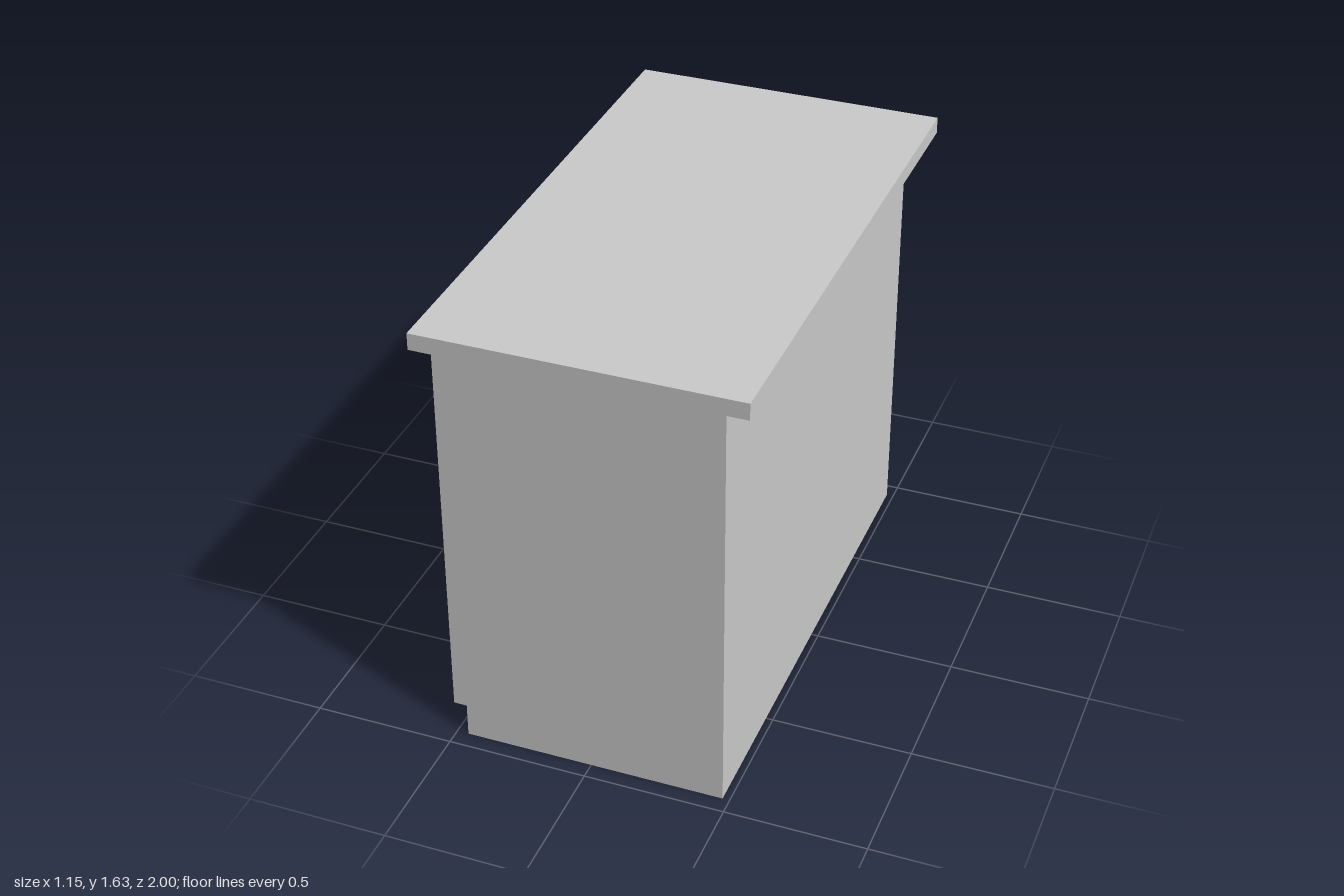
import * as THREE from 'three';

const grey = new THREE.MeshStandardMaterial({ color: 0xcccccc });

// Box given by its minimum and maximum corners
function addBox(parent, name, [x0, y0, z0], [x1, y1, z1]) {
  const mesh = new THREE.Mesh(new THREE.BoxGeometry(x1 - x0, y1 - y0, z1 - z0), grey);
  mesh.position.set((x0 + x1) / 2, (y0 + y1) / 2, (z0 + z1) / 2);
  mesh.name = name;
  parent.add(mesh);
}

// Bent bar handle: two short legs joined to an upright grip by rounded corners
function handleGeometry(xDoor, xGrip, yLow, yHigh, bend, radius) {
  const v = (x, y) => new THREE.Vector3(x, y, 0);
  const path = new THREE.CurvePath();
  path.add(new THREE.LineCurve3(v(xDoor, yLow), v(xGrip + bend, yLow)));
  path.add(new THREE.QuadraticBezierCurve3(v(xGrip + bend, yLow), v(xGrip, yLow), v(xGrip, yLow + bend)));
  path.add(new THREE.LineCurve3(v(xGrip, yLow + bend), v(xGrip, yHigh - bend)));
  path.add(new THREE.QuadraticBezierCurve3(v(xGrip, yHigh - bend), v(xGrip, yHigh), v(xGrip + bend, yHigh)));
  path.add(new THREE.LineCurve3(v(xGrip + bend, yHigh), v(xDoor, yHigh)));
  return new THREE.TubeGeometry(path, 160, radius, 16, false);
}

export function createModel() {
  const model = new THREE.Group();
  model.name = 'cabinet';

  // Body and overhanging worktop
  addBox(model, 'carcass', [-0.458, 0, -0.94], [0.475, 1.572, 0.94]);
  addBox(model, 'worktop', [-0.553, 1.572, -1], [0.571, 1.632, 1]);

  // Pair of doors on the -x side, handles near the middle gap
  const handle = handleGeometry(-0.51, -0.56, 0.641, 1.001, 0.02, 0.015);
  for (const side of [-1, 1]) {
    const door = new THREE.Group();
    door.name = side < 0 ? 'backDoor' : 'frontDoor';
    const z = [side * 0.008, side * 0.915].sort((a, b) => a - b);
    addBox(door, 'doorPanel', [-0.518, 0.102, z[0]], [-0.458, 1.538, z[1]]);
    const grip = new THREE.Mesh(handle, grey);
    grip.name = 'handle';
    grip.position.z = side * 0.117;
    door.add(grip);
    model.add(door);
  }
  return model;
}
